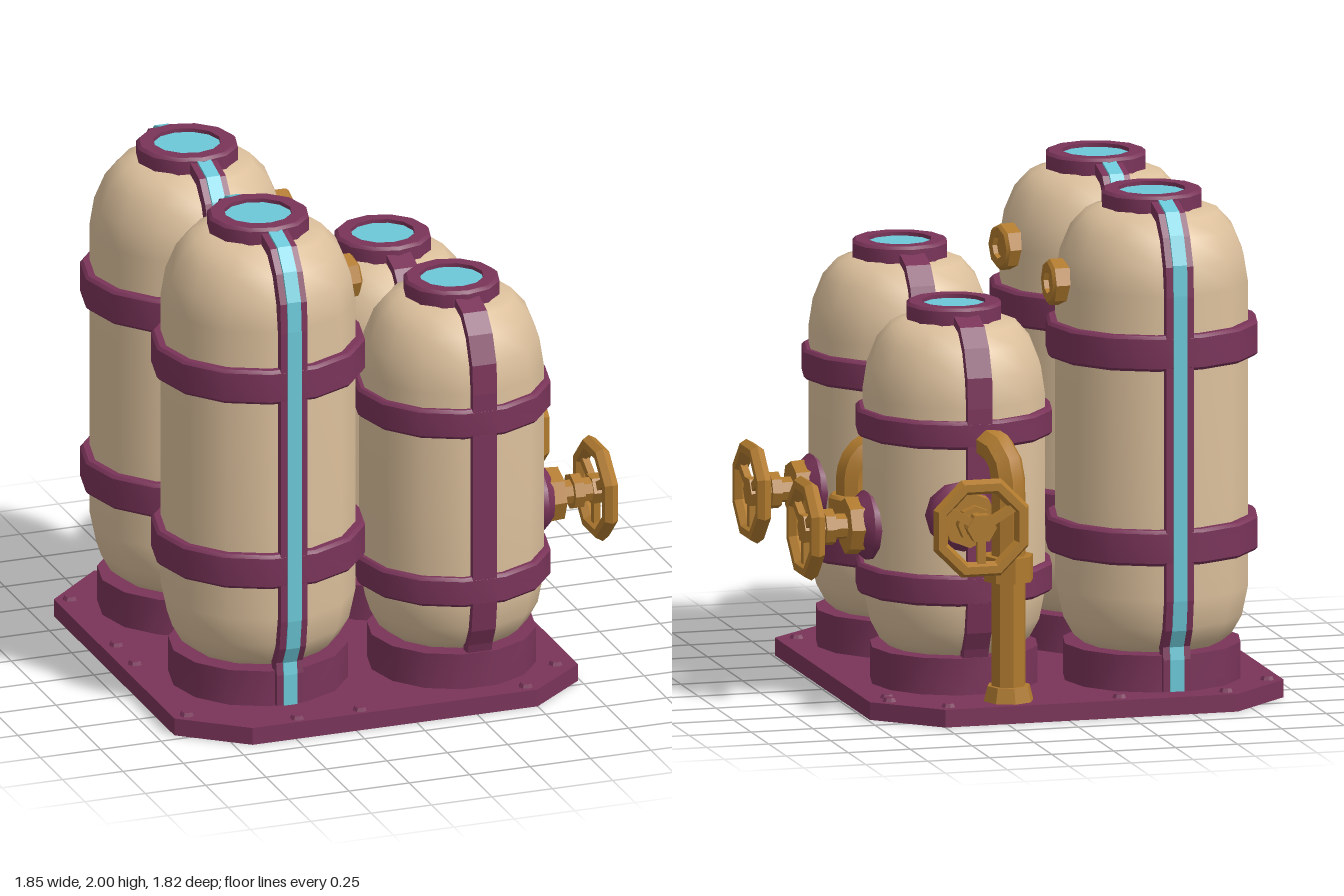
import * as THREE from 'three';
import { toCreasedNormals } from 'three/addons/utils/BufferGeometryUtils.js';

const material = (name, color) => Object.assign(new THREE.MeshStandardMaterial({ color }), { name });
const V = (x, y, z) => new THREE.Vector3(x, y, z);
const SIDES = 14;

export function createModel() {
  const cream = material('cream shell', 0xdcc09c);
  const plum = material('plum metal', 0x7a3459);
  const brass = material('brass', 0xb07a2e);
  const cyan = material('cyan glass', 0x6cc8d8);

  const model = new THREE.Group();
  model.name = 'tankCluster';

  const add = (parent, name, geometry, mat, x = 0, y = 0, z = 0) => {
    const mesh = new THREE.Mesh(geometry, mat);
    mesh.name = name;
    mesh.position.set(x, y, z);
    parent.add(mesh);
    return mesh;
  };
  const crease = (g) => toCreasedNormals(g, 0.6);
  const disc = (r0, r1, h, sides) => crease(new THREE.CylinderGeometry(r0, r1, h, sides).rotateY(Math.PI / 2));
  // Bevelled ring with a hole, from y0 to y1
  const ring = (ri, ro, y0, y1, sides, b = 0.012) => crease(new THREE.LatheGeometry([
    [ri, y0], [ro - b, y0], [ro, y0 + b], [ro, y1 - b], [ro - b, y1], [ri, y1], [ri, y0],
  ].map(([x, y]) => new THREE.Vector2(x, y)), sides).rotateY(Math.PI / 2));

  // Base plate with cut corners
  const plate = new THREE.Shape([
    [-0.68, -0.91], [0.5, -0.91], [0.74, -0.71], [0.74, 0.64],
    [0.5, 0.87], [-0.68, 0.87], [-0.93, 0.64], [-0.93, -0.71],
  ].map(([x, y]) => new THREE.Vector2(x, y)));
  add(model, 'basePlate', new THREE.ExtrudeGeometry(plate, { depth: 0.07, bevelEnabled: false })
    .rotateX(-Math.PI / 2), plum);

  // Bolts around the plate
  const boltGeometry = disc(0.022, 0.03, 0.016, 8);
  [[-0.65, -0.81], [-0.22, -0.81], [0.47, -0.81], [-0.87, -0.62], [0.66, -0.64], [0.65, -0.57],
    [-0.87, -0.1], [-0.02, 0.09], [-0.87, 0.11], [-0.87, 0.69], [-0.48, 0.87], [-0.22, 0.87],
    [0.47, 0.86], [0.66, 0.68]].forEach(([x, z]) => add(model, 'plateBolt', boltGeometry, plum, x, 0.077, z));

  // Strap that follows one side of a tank; path points are [radius, height]
  function strapGeometry(path, width, lift) {
    const outer = path.map(([r, y]) => new THREE.Vector2(r + lift, y + (y > 1 ? lift : 0)));
    const inner = path.map(([r, y]) => new THREE.Vector2(r * 0.85, y > 1 ? y - 0.04 : y)).reverse();
    return new THREE.ExtrudeGeometry(new THREE.Shape([...outer, ...inner]), { depth: width, bevelEnabled: false })
      .translate(0, 0, -width / 2).rotateY(-Math.PI / 2);
  }

  // Tank: domed shell, pedestal, bands, cap and straps
  function tank(name, x, z, r, top, bands, striped) {
    const g = new THREE.Group();
    g.name = name;
    g.position.set(x, 0, z);
    model.add(g);
    const s = r / 0.38;
    const profile = [
      [0, 0.2], [0.26, 0.205], [0.315, 0.25], [0.355, 0.32], [0.38, 0.44], [0.38, 0.8], [0.38, top - 0.3],
      [0.362, top - 0.19], [0.32, top - 0.09], [0.26, top - 0.025], [0.18, top], [0, top],
    ].map(([a, y]) => new THREE.Vector2(a * s, y));
    add(g, 'shell', new THREE.LatheGeometry(profile, SIDES).rotateY(Math.PI / 2), cream);
    add(g, 'pedestal', disc(r - 0.03, r - 0.03, 0.15, SIDES), plum, 0, 0.14, 0);
    const bandRadius = striped ? r + 0.038 : r + 0.027;
    bands.forEach(([y0, y1]) => add(g, 'band', ring(r - 0.03, bandRadius, y0, y1, SIDES), plum));
    add(g, 'capRing', ring(0.133 * s, 0.2 * s, top - 0.03, top + 0.06, 12), plum);
    add(g, 'capGlass', disc(0.14 * s, 0.14 * s, 0.06, 12), cyan, 0, top + 0.015, 0);

    const t = striped ? 0.027 : 0.017;
    const path = [
      [0.185, top + t + 0.015], [0.26, top + t - 0.015], [0.325, top - 0.07], [0.372, top - 0.18],
      [0.38, top - 0.3], [0.38, 0.44], [0.362, 0.32], [0.325, 0.25],
    ].map(([a, y], i) => [a * s + (i ? t : 0), y]);
    if (striped) path.push([0.36, 0.2], [0.36, 0.075]);
    else path.push([0.31, 0.2]);
    for (const turn of [0, Math.PI]) {
      add(g, 'strap', strapGeometry(path, striped ? 0.11 : 0.1, 0), plum).rotation.y = turn;
      if (striped) add(g, 'glassStripe', strapGeometry(path, 0.056, 0.007), cyan).rotation.y = turn;
    }
    return g;
  }

  const tallBands = [[0.58, 0.72], [1.35, 1.49]];
  const tallBack = tank('tallTankBack', -0.46, -0.42, 0.38, 1.94, tallBands, true);
  const tallFront = tank('tallTankFront', -0.46, 0.375, 0.38, 1.94, tallBands, true);
  const shortBack = tank('shortTankBack', 0.3, -0.285, 0.36, 1.51, [[0.43, 0.55], [1.05, 1.16]], false);
  const shortFront = tank('shortTankFront', 0.3, 0.485, 0.36, 1.61, [[0.43, 0.55], [1.13, 1.25]], false);

  // Brass ports on the tall tanks
  for (const [parent, angle] of [[tallBack, 0.02], [tallFront, 0.18]]) {
    const port = new THREE.Group();
    port.name = 'port';
    port.rotation.y = angle;
    parent.add(port);
    add(port, 'portNut', ring(0.045, 0.092, 0.33, 0.425, 8).rotateZ(-Math.PI / 2), brass, 0, 1.65, 0);
    add(port, 'portPlug', disc(0.05, 0.05, 0.06, 6).rotateZ(-Math.PI / 2), brass, 0.375, 1.65, 0);
  }

  // Valve with hand wheel, pointing along +z from the tank axis
  function valve(parent, x, y, turn) {
    const g = new THREE.Group();
    g.name = 'valve';
    g.position.set(x, y, 0);
    g.rotation.y = turn;
    parent.add(g);
    const drum = (name, r1, r0, z0, z1, sides, mat) =>
      add(g, name, disc(r1, r0, z1 - z0, sides).rotateX(Math.PI / 2), mat, 0, 0, (z0 + z1) / 2);
    drum('flange', 0.14, 0.14, 0.28, 0.355, 12, plum);
    drum('flangeBevel', 0.11, 0.14, 0.355, 0.39, 12, plum);
    drum('neck', 0.11, 0.115, 0.37, 0.44, 8, brass);
    drum('stem', 0.05, 0.05, 0.43, 0.6, 8, brass);
    drum('collar', 0.072, 0.072, 0.49, 0.53, 8, brass);
    drum('hub', 0.06, 0.06, 0.57, 0.615, 6, brass);
    add(g, 'handWheel', crease(new THREE.TorusGeometry(0.176, 0.032, 6, 8).rotateZ(Math.PI / 8)), brass, 0, 0, 0.597);
    for (let i = 0; i < 3; i++) {
      const spoke = new THREE.BoxGeometry(0.034, 0.14, 0.028).translate(0, -0.1, 0);
      add(g, 'spoke', spoke, brass, 0, 0, 0.597).rotation.z = (i * Math.PI * 2) / 3;
    }
  }
  valve(shortFront, 0, 0.7, Math.PI / 2);
  valve(shortBack, 0, 0.7, Math.PI / 2);
  valve(shortBack, 0.06, 0.785, Math.PI);

  // Pipe: straight run, rounded elbow, straight run
  function pipe(name, start, bendIn, corner, bendOut, end, radius) {
    const path = new THREE.CurvePath();
    path.add(new THREE.LineCurve3(start, bendIn));
    path.add(new THREE.QuadraticBezierCurve3(bendIn, corner, bendOut));
    path.add(new THREE.LineCurve3(bendOut, end));
    add(model, name, crease(new THREE.TubeGeometry(path, 18, radius, 8)), brass);
  }
  // Drain pipe behind the short back tank
  pipe('drainPipe', V(0.21, 0.07, -0.745), V(0.21, 0.9, -0.745), V(0.21, 1.06, -0.745),
    V(0.26, 1.07, -0.64), V(0.3, 1.07, -0.5), 0.068);
  add(model, 'drainFoot', disc(0.085, 0.1, 0.06, 8), brass, 0.21, 0.1, -0.745);
  add(model, 'drainCollar', disc(0.098, 0.098, 0.1, 8), brass, 0.21, 0.595, -0.745);

  // Spout between the short tanks
  pipe('spoutPipe', V(0.2, 0.935, 0.09), V(0.46, 0.935, 0.09), V(0.6, 0.935, 0.09),
    V(0.6, 0.8, 0.09), V(0.6, 0.68, 0.09), 0.07);
  add(model, 'spoutCollar', ring(0.065, 0.1, 0.64, 0.75, 8), brass, 0.6, 0, 0.09);
  add(model, 'spoutPlug', disc(0.072, 0.072, 0.03, 8), brass, 0.6, 0.7, 0.09);

  return model;
}
